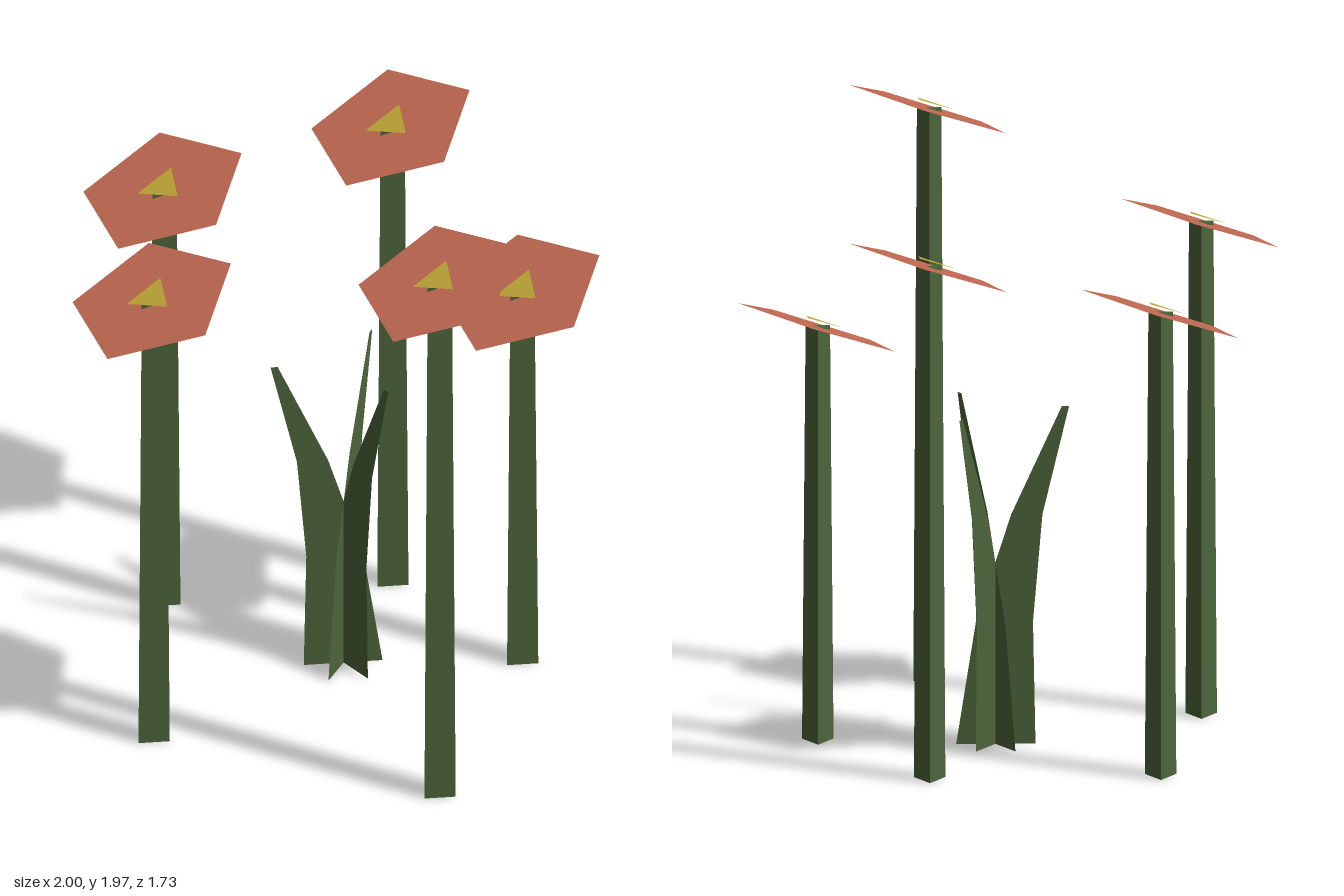
import * as THREE from 'three';

export function createModel() {
  const model = new THREE.Group();
  model.name = 'flowerPatch';

  const mat = (name, color, extra = {}) =>
    Object.assign(new THREE.MeshStandardMaterial({ color }), { name }, extra);
  const double = { side: THREE.DoubleSide };
  const green = mat('leaf green', 0x4c643a, double);
  const coral = mat('petal coral', 0xc06850, double);
  const yellow = mat('centre yellow', 0xc0a636, double);

  const add = (parent, name, geometry, material) => {
    const mesh = new THREE.Mesh(geometry, material);
    mesh.name = name;
    parent.add(mesh);
    return mesh;
  };

  // Flowers: three-sided stem, tilted five-sided bloom, triangular centre
  const tilt = THREE.MathUtils.degToRad(20);
  const bloomShape = new THREE.CircleGeometry(0.276, 5);
  const centreShape = new THREE.CircleGeometry(0.083, 3);
  const flowers = [
    [-0.777, 1.515, 0.067],
    [-0.438, 1.675, -0.588],
    [-0.107, 1.612, 0.617],
    [0.208, 1.355, -0.618],
    [0.723, 1.88, 0.102],
  ];
  for (const [x, height, z] of flowers) {
    const flower = new THREE.Group();
    flower.name = 'flower';
    flower.position.set(x, 0, z);

    const stemShape = new THREE.CylinderGeometry(0.045, 0.058, height, 3).toNonIndexed();
    stemShape.computeVertexNormals();
    add(flower, 'stem', stemShape, green).position.y = height / 2;

    const head = new THREE.Group();
    head.name = 'flowerHead';
    head.position.y = height;
    head.rotation.x = tilt - Math.PI / 2;
    add(head, 'petals', bloomShape, coral);
    add(head, 'flowerCentre', centreShape, yellow).position.z = 0.02;
    flower.add(head);
    model.add(flower);
  }

  // Tuft of three flat blades, each bending outward in its own radial plane
  const blade = new THREE.Shape([
    [-0.125, 0], [0.128, 0], [0.12, 0.4], [0.15, 0.75],
    [0.235, 1.105], [0.212, 1.105], [0.05, 0.75], [-0.062, 0.4],
  ].map(([x, y]) => new THREE.Vector2(x, y)));
  const bladeShape = new THREE.ShapeGeometry(blade);
  const tuft = new THREE.Group();
  tuft.name = 'leafTuft';
  tuft.position.set(-0.12, 0, -0.155);
  for (let i = 0; i < 3; i++) {
    add(tuft, 'leaf', bladeShape, green).rotation.y = (i * Math.PI * 2) / 3;
  }
  model.add(tuft);

  return model;
}
